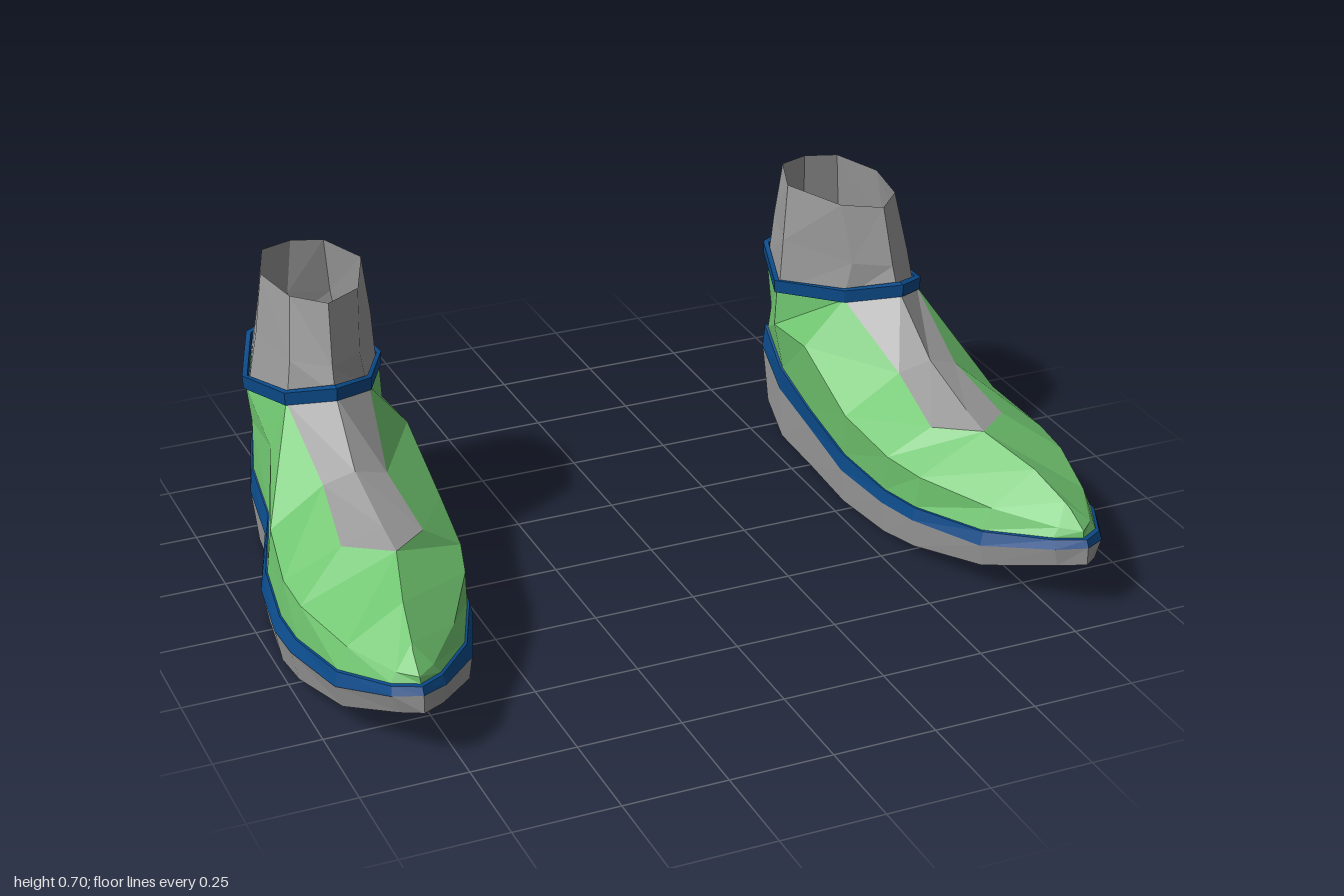
import * as THREE from 'three';

const mat = (name, color) => {
  const m = new THREE.MeshStandardMaterial({ color, flatShading: true, side: THREE.DoubleSide });
  m.name = name;
  return m;
};

// Loop of points: toe -> outer side -> heel -> inner side
function ring(xo, xi, y, z) {
  const pts = xo.map((x, i) => [x, y[i], z[i]]);
  for (let i = xo.length - 2; i > 0; i--) pts.push([xi[i], y[i], z[i]]);
  return pts;
}

// Flat-faced surface through successive rows of points
function loft(rows, closed, side) {
  const pos = [];
  const tri = (a, b, c) => {
    const [p, q, r] = (side > 0 ? [a, b, c] : [a, c, b]).map(v => new THREE.Vector3(v[0] * side, v[1], v[2]));
    const area = q.clone().sub(p).cross(r.clone().sub(p)).length();
    if (area > 1e-7) pos.push(...p.toArray(), ...q.toArray(), ...r.toArray());
  };
  for (let j = 0; j < rows.length - 1; j++) {
    const A = rows[j], B = rows[j + 1], n = A.length;
    for (let i = 0; i < (closed ? n : n - 1); i++) {
      const k = (i + 1) % n;
      tri(A[i], A[k], B[k]);
      tri(A[i], B[k], B[i]);
    }
  }
  const g = new THREE.BufferGeometry();
  g.setAttribute('position', new THREE.Float32BufferAttribute(pos, 3));
  g.computeVertexNormals();
  return g;
}

// Scale a ring about a vertical axis and lift it
const resize = (pts, s, dy = 0, cx = 0.70, cz = -0.42) =>
  pts.map(([x, y, z]) => [cx + (x - cx) * s, y + dy, cz + (z - cz) * s]);

function makeShoe(side, grey, green, blue) {
  const shoe = new THREE.Group();
  const add = (name, rows, closed, material) => {
    const m = new THREE.Mesh(loft(rows, closed, side), material);
    m.name = name;
    shoe.add(m);
  };

  // Sole outline and its heights at each station from toe to heel
  const z = [0.67, 0.63, 0.48, 0.28, 0.16, -0.04, -0.25, -0.43, -0.60, -0.67];
  const xo = [0.82, 0.88, 0.96, 0.998, 1.0, 0.97, 0.895, 0.875, 0.82, 0.70];
  const xi = [0.82, 0.755, 0.64, 0.565, 0.545, 0.535, 0.545, 0.55, 0.58, 0.70];
  const soleTop = ring(xo, xi, [0.165, 0.155, 0.115, 0.10, 0.093, 0.088, 0.113, 0.137, 0.18, 0.19], z);
  const bottomY = [0.12, 0.11, 0.06, 0.027, 0.012, 0, 0, 0, 0.03, 0.06];
  const bottom = ring(xo.map(x => x - 0.015), xi.map(x => x + 0.008), bottomY,
    [0.67, 0.63, 0.48, 0.28, 0.16, -0.04, -0.25, -0.43, -0.58, -0.665]);
  bottom[0][0] = 0.82;
  const n = z.length;
  const across = bottom.slice(0, n).map((p, i) => [p, i % (n - 1) ? bottom[bottom.length - i] : p]);
  add('sole', [bottom, soleTop], true, grey);
  add('soleBottom', across, false, grey);

  // Blue band round the sole, with a small ledge on top
  const bandY = [0.182, 0.175, 0.147, 0.131, 0.126, 0.132, 0.163, 0.20, 0.24, 0.237];
  const bandTop = ring(
    [0.82, 0.877, 0.952, 0.986, 0.986, 0.957, 0.885, 0.868, 0.81, 0.70],
    [0.82, 0.76, 0.65, 0.572, 0.55, 0.538, 0.542, 0.548, 0.585, 0.70], bandY,
    [0.662, 0.622, 0.475, 0.28, 0.16, -0.04, -0.25, -0.43, -0.60, -0.648]);
  const upperBase = resize(bandTop, 0.98, 0, 0.76, 0);
  add('soleBand', [resize(soleTop, 1.003, 0, 0.76, 0), bandTop, upperBase], true, blue);

  // Green upper: side crease, then the edge along the toe ridge, tongue and collar
  const crease = ring(
    [0.82, 0.86, 0.925, 0.97, 0.975, 0.945, 0.868, 0.86, 0.785, 0.70],
    [0.82, 0.775, 0.675, 0.58, 0.55, 0.53, 0.528, 0.53, 0.595, 0.70],
    [0.197, 0.197, 0.20, 0.213, 0.222, 0.25, 0.34, 0.325, 0.30, 0.29],
    [0.645, 0.607, 0.465, 0.28, 0.17, -0.02, -0.25, -0.43, -0.585, -0.632]);
  const edge = ring(
    [0.815, 0.81, 0.79, 0.745, 0.845, 0.82, 0.83, 0.87, 0.81, 0.70],
    [0.815, 0.81, 0.79, 0.745, 0.65, 0.665, 0.625, 0.535, 0.58, 0.70],
    [0.23, 0.24, 0.277, 0.308, 0.297, 0.35, 0.46, 0.42, 0.455, 0.47],
    [0.59, 0.57, 0.46, 0.29, 0.20, 0.0, -0.23, -0.43, -0.59, -0.64]);
  add('upper', [upperBase, crease, edge], true, green);

  // Grey tongue over the instep
  const mid = [[0.745, 0.308, 0.29], [0.745, 0.325, 0.20], [0.745, 0.375, 0.01], [0.735, 0.495, -0.14]];
  add('tongue', mid.map((c, j) => [j ? edge[edge.length - 3 - j] : c, c, edge[3 + j]]), false, grey);

  // Blue collar band round the ankle
  const collar = [mid[3], ...edge.slice(6, 13)];
  const lowOut = resize(collar, 1.035, -0.005);
  const highOut = resize(collar, 1.045, 0.028);
  const highIn = resize(collar, 0.97, 0.028);
  const lowIn = resize(collar, 0.97, -0.005);
  add('collarBand', [lowIn, lowOut, highOut, highIn, lowIn], true, blue);

  // Open sock shaft
  const sockMid = [[0.73, -0.175], [0.81, -0.25], [0.837, -0.43], [0.785, -0.59],
    [0.70, -0.618], [0.60, -0.59], [0.55, -0.43], [0.645, -0.23]].map(([x, w]) => [x, 0.555, w]);
  const sockRim = [[0.72, -0.215], [0.79, -0.29], [0.815, -0.44], [0.77, -0.575],
    [0.69, -0.602], [0.615, -0.575], [0.565, -0.44], [0.63, -0.27]].map(([x, w]) => [x, 0.70, w]);
  add('sock', [resize(collar, 0.96), sockMid, sockRim], true, grey);
  return shoe;
}

export function createModel() {
  const grey = mat('grey', 0x999999);
  const green = mat('green', 0x6fc46f);
  const blue = mat('blue', 0x0b4a88);
  const model = new THREE.Group();
  for (const side of [1, -1]) {
    const shoe = makeShoe(side, grey, green, blue);
    shoe.name = side > 0 ? 'leftShoe' : 'rightShoe';
    model.add(shoe);
  }
  return model;
}
